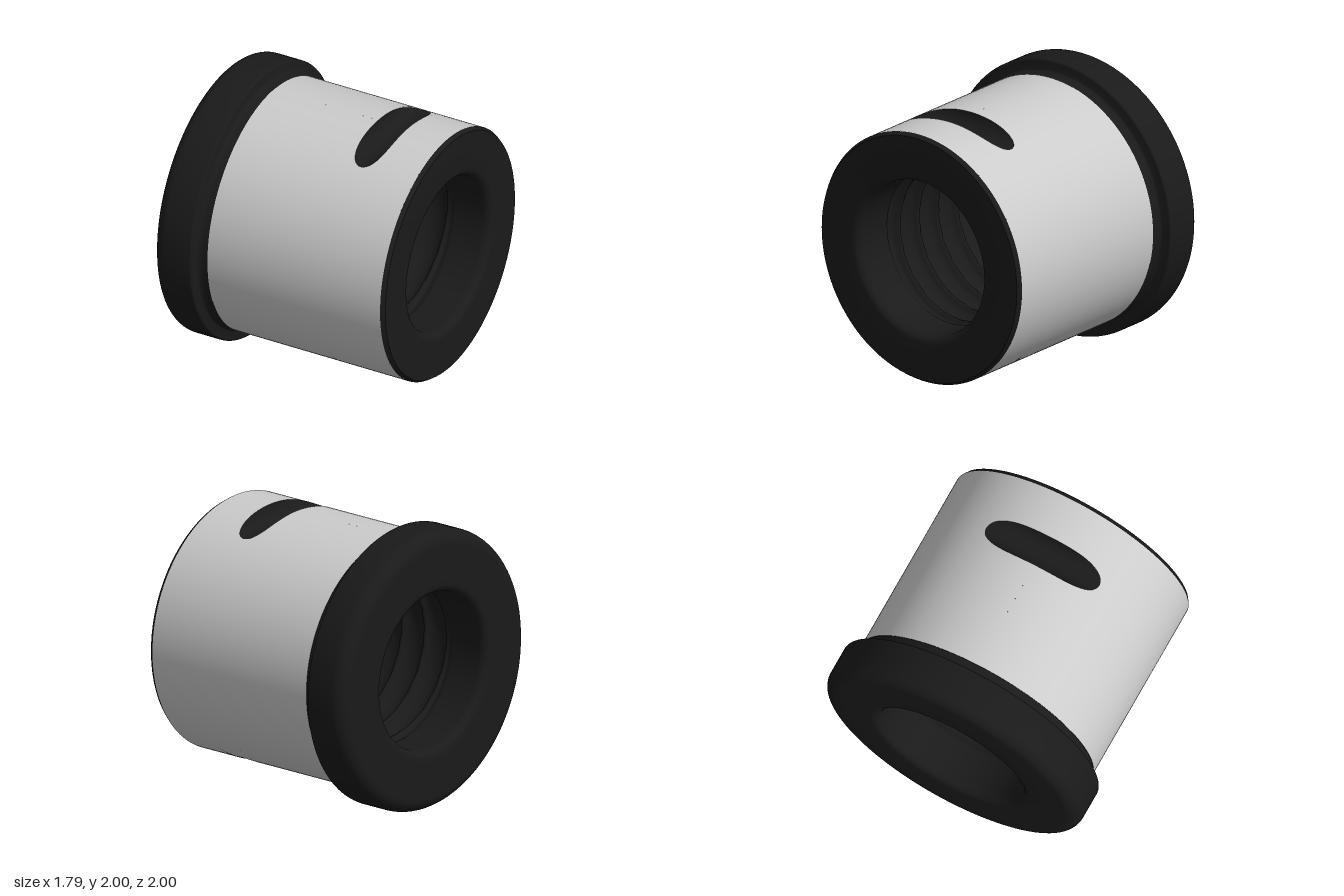
import * as THREE from 'three';
import { toCreasedNormals } from 'three/addons/utils/BufferGeometryUtils.js';

const R = 0.91;                                  // sleeve radius
const SLOT = { x: 0.435, r: 0.115 };             // round-bottomed cross slot
const BORE = 0.56;

const steel = new THREE.MeshStandardMaterial({ color: 0xcccccc });
const black = new THREE.MeshStandardMaterial({ color: 0x1a1a1a });

// Surface from a grid of points; the front faces along (dP/dv) x (dP/du)
function grid(us, vs, point) {
  const pos = [], index = [], n = vs.length;
  for (const u of us) for (const v of vs) pos.push(...point(u, v));
  for (let i = 0; i < us.length - 1; i++) {
    for (let j = 0; j < n - 1; j++) {
      const a = i * n + j, b = a + 1, c = a + n, d = c + 1;
      index.push(a, b, c, b, d, c);
    }
  }
  const geo = new THREE.BufferGeometry();
  geo.setAttribute('position', new THREE.Float32BufferAttribute(pos, 3));
  geo.setIndex(index);
  geo.computeVertexNormals();
  return geo;
}

const range = (a, b, n) => Array.from({ length: n + 1 }, (_, i) => a + (b - a) * i / n);

// Points of a rounded corner, as [radius, x]
const arc = (r, x, size, from, to, n = 8) => range(from, to, n).map(
  (a) => [r + size * Math.sin(a), x + size * Math.cos(a)]);

// Turned part about the x axis
function turned(profile) {
  const geo = new THREE.LatheGeometry(profile.map(([r, x]) => new THREE.Vector2(r, x)), 128);
  geo.rotateZ(-Math.PI / 2);
  return toCreasedNormals(geo, 0.5);
}

// Depth of the slot floor above the axis, and the angle at which it meets the sleeve
const floorHeight = (x) => R - Math.sqrt(Math.max(0, SLOT.r ** 2 - (x - SLOT.x) ** 2));
const edgeAngle = (x) => Math.acos(Math.min(1, floorHeight(x) / R));

// Bore radius with a helical ball groove that fades out at both ends
function boreRadius(x, a) {
  const turns = x / 0.2 - a / (2 * Math.PI);
  const t = (turns - Math.floor(turns) - 0.5) / 0.44;
  const fade = 1 - THREE.MathUtils.smoothstep(Math.abs(x), 0.5, 0.6);
  return BORE + 0.06 * fade * Math.sqrt(Math.max(0, 1 - t * t));
}

export function createModel() {
  const model = new THREE.Group();
  model.name = 'flangedNut';
  const axis = new THREE.Group();
  axis.name = 'turnedBody';
  axis.position.y = 1;
  model.add(axis);
  const add = (name, geo, mat, turn = 0) => {
    const mesh = new THREE.Mesh(geo, mat);
    mesh.name = name;
    mesh.rotation.x = turn;
    axis.add(mesh);
  };
  const PI = Math.PI;

  // Flange with rounded rim, and the undercut neck behind it
  add('flange', turned([
    ...arc(BORE + 0.06, -0.84, 0.06, 1.5 * PI, PI),
    ...arc(0.9, -0.8, 0.1, PI, PI / 2, 10),
    ...arc(0.985, -0.605, 0.015, PI / 2, 0, 4),
    ...arc(0.94, -0.555, 0.035, PI, 1.5 * PI, 6).map(([r, x]) => [r, x]).filter(([r]) => r > 2),
    [0.935, -0.59], [0.92, -0.583], [0.908, -0.565], [0.905, -0.55], [0.905, -0.51], [R, -0.51],
  ]), black);

  // Chamfered end face
  add('endFace', turned([
    [R, 0.86], [0.89, 0.89], ...arc(BORE + 0.06, 0.83, 0.06, 0, -PI / 2),
  ]), black);

  // Sleeve halves; their edges follow the slot outline
  const slotXs = range(0, PI, 40).map((k) => SLOT.x - SLOT.r * Math.cos(PI * (1 - Math.cos(k)) / 2));
  const half = grid([-0.51, ...slotXs, 0.86], range(0, 1, 72), (x, v) => {
    const e = edgeAngle(x), a = e + (PI - 2 * e) * v;
    return [x, R * Math.cos(a), R * Math.sin(a)];
  });
  const p = half.attributes.position, normal = half.attributes.normal;
  for (let i = 0; i < p.count; i++) normal.setXYZ(i, 0, p.getY(i) / R, p.getZ(i) / R);
  add('sleeveFront', half, steel);
  add('sleeveBack', half, steel, PI);

  // Slot floors, top and bottom
  const slot = grid(slotXs, range(-1, 1, 8),
    (x, v) => [x, floorHeight(x), v * R * Math.sin(edgeAngle(x))]);
  add('topSlot', slot, black);
  add('bottomSlot', slot, black, PI);

  // Threaded bore
  add('threadedBore', grid(range(-0.84, 0.83, 180), range(2 * PI, 0, 128), (x, a) => {
    const r = boreRadius(x, a);
    return [x, r * Math.cos(a), r * Math.sin(a)];
  }), black);

  return model;
}
